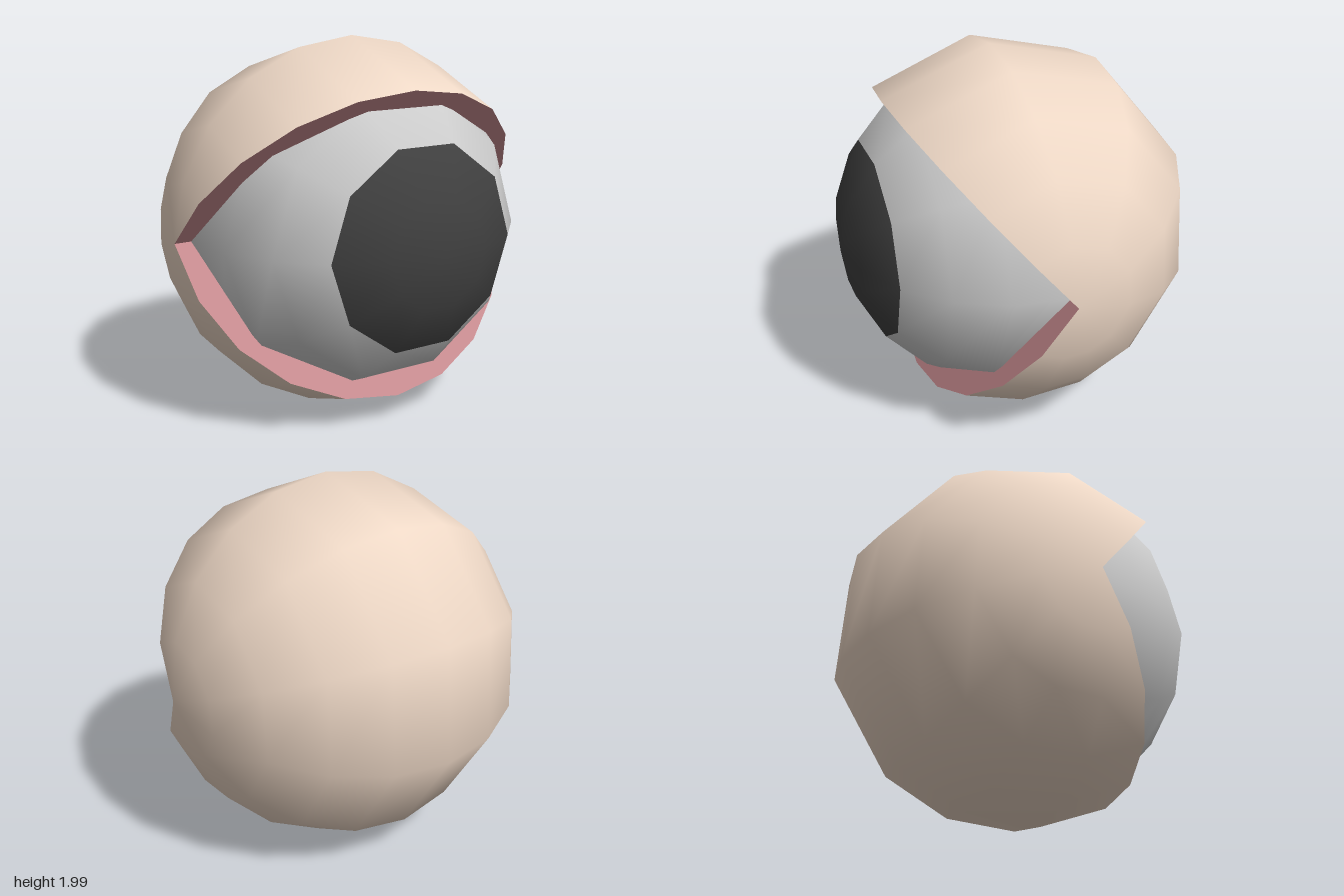
import * as THREE from 'three';

const deg = THREE.MathUtils.degToRad;
const STEP = 36; // facet size around the lids, in degrees

function addMesh(group, name, geometry, color) {
  const mesh = new THREE.Mesh(geometry, new THREE.MeshStandardMaterial({ color }));
  mesh.name = name;
  group.add(mesh);
}

// Band of a sphere with its poles on the z axis
function eyeBand(start, length) {
  return new THREE.SphereGeometry(0.91, 10, length / 18, 0, Math.PI * 2, deg(start), deg(length))
    .rotateX(Math.PI / 2);
}

// Wedge of a sphere with its poles on the x axis, hinged at the eye corners.
// Angles run from +z upwards over the top.
function lidShell(from, to) {
  return new THREE.SphereGeometry(1, (to - from) / STEP, 10, deg(90 - to), deg(to - from))
    .rotateZ(-Math.PI / 2);
}

// Flat half disc closing the cut of a lid
function lidRim(arcStart, tilt) {
  return new THREE.CircleGeometry(1, 10, arcStart, Math.PI).rotateX(deg(tilt));
}

export function createModel() {
  const model = new THREE.Group();
  model.name = 'eye';

  // Eyeball
  const eyeball = new THREE.Group();
  eyeball.name = 'eyeball';
  addMesh(eyeball, 'iris', eyeBand(0, 36), 0x404040);
  addMesh(eyeball, 'eyeWhite', eyeBand(36, 144), 0xcccccc);

  // Upper lid reaches over the back and meets the lower lid there
  const upperLid = new THREE.Group();
  upperLid.name = 'upperLid';
  addMesh(upperLid, 'upperLidShell', lidShell(50, 230), 0xeed8c6);
  addMesh(upperLid, 'upperLidRim', lidRim(0, 40), 0xc98c90);

  const lowerLid = new THREE.Group();
  lowerLid.name = 'lowerLid';
  addMesh(lowerLid, 'lowerLidShell', lidShell(230, 302), 0xeed8c6);
  addMesh(lowerLid, 'lowerLidRim', lidRim(Math.PI, -32), 0xc98c90);

  for (const part of [eyeball, upperLid, lowerLid]) {
    part.position.set(0, 1, 0.03);
    model.add(part);
  }
  return model;
}
